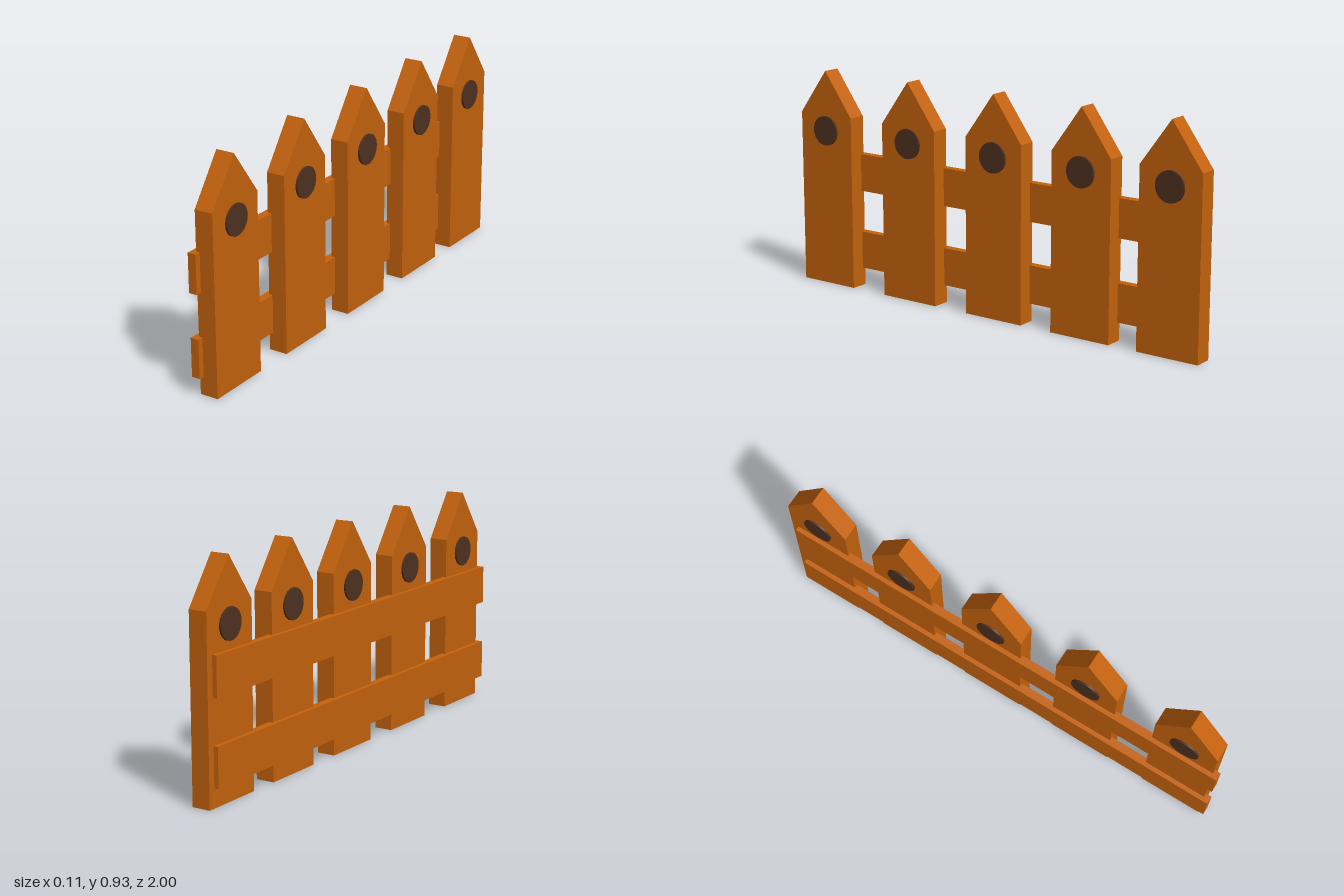
import * as THREE from 'three';

export function createModel() {
  const group = new THREE.Group();
  group.name = 'picketFence';
  const wood = new THREE.MeshStandardMaterial({ color: 0xc4620c, flatShading: true });
  const dark = new THREE.MeshStandardMaterial({ color: 0x4e3020 });

  const add = (name, geometry, material, x, y, z) => {
    const mesh = new THREE.Mesh(geometry, material);
    mesh.name = name;
    mesh.position.set(x, y, z);
    group.add(mesh);
  };

  // Pointed picket profile, extruded across the fence's thickness
  const half = 0.137, shoulder = 0.74, peak = 0.928;
  const profile = new THREE.Shape([
    [-half, 0], [half, 0], [half, shoulder], [0, peak], [-half, shoulder],
  ].map(([x, y]) => new THREE.Vector2(x, y)));
  const picket = new THREE.ExtrudeGeometry(profile, { depth: 0.078, bevelEnabled: false });
  picket.rotateY(Math.PI / 2);

  // Round peg that shows on both faces of a picket
  const peg = new THREE.CylinderGeometry(0.063, 0.063, 0.095, 32);
  peg.rotateZ(Math.PI / 2);

  [0.838, 0.393, -0.042, -0.462, -0.863].forEach((z, i) => {
    add(`picket${i + 1}`, picket, wood, -0.035, 0, z);
    add(`peg${i + 1}`, peg, dark, 0.0045, 0.672, z);
  });

  // Two rails along the back of the pickets
  const rail = new THREE.BoxGeometry(0.035, 0.16, 1.97);
  add('lowerRail', rail, wood, -0.0365, 0.157, 0.015);
  add('upperRail', rail, wood, -0.0365, 0.497, 0.015);

  return group;
}
